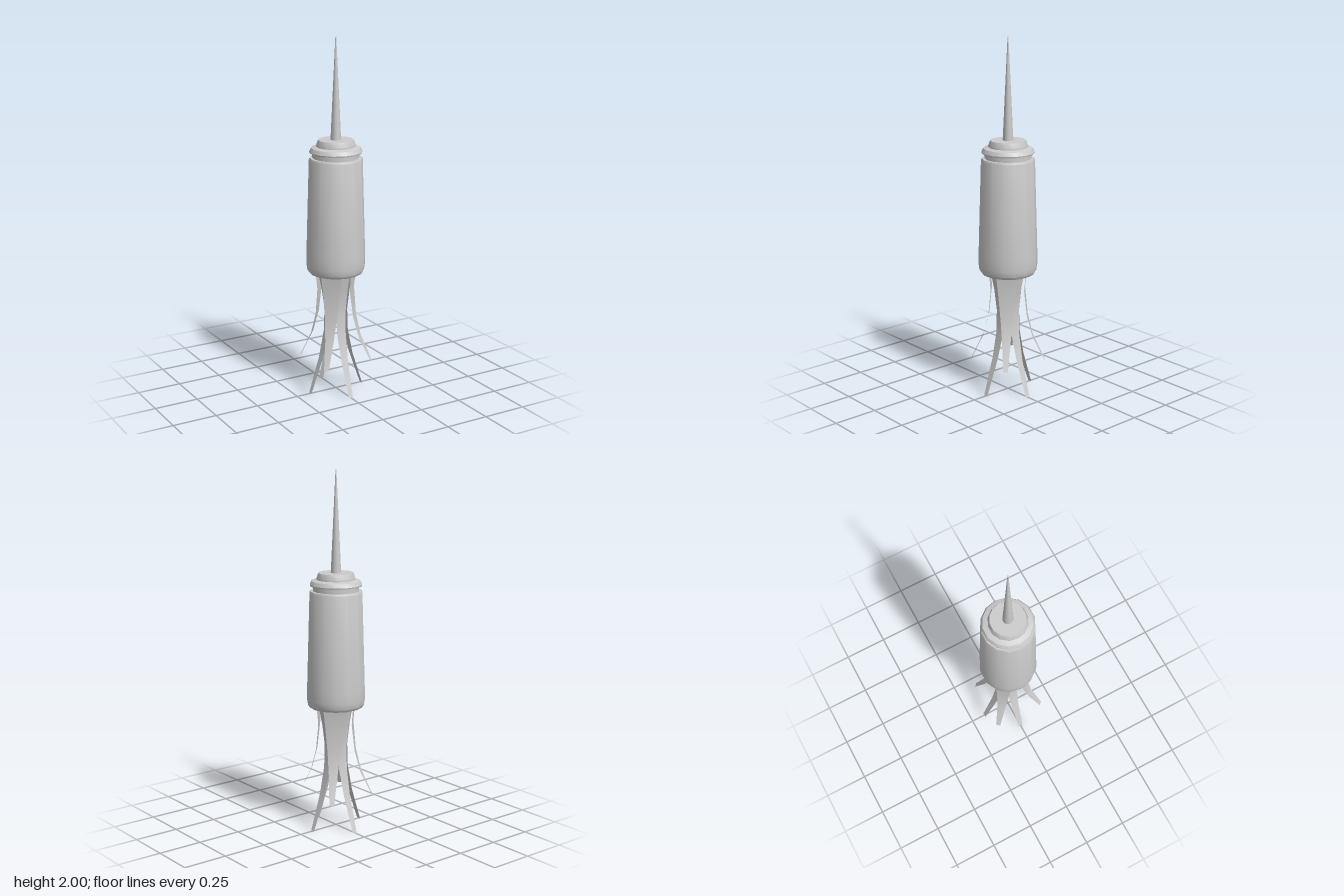
import * as THREE from 'three';
import { toCreasedNormals } from 'three/addons/utils/BufferGeometryUtils.js';

const SIDES = 14;
const grey = new THREE.MeshStandardMaterial({ color: 0xcccccc });
const greyThin = new THREE.MeshStandardMaterial({ color: 0xcccccc, side: THREE.DoubleSide });

// Turned part from [radius, height] pairs, bottom to top, with a corner on +x
function turned(name, profile) {
  const points = profile.map(([r, y]) => new THREE.Vector2(r, y));
  const geometry = new THREE.LatheGeometry(points, SIDES).rotateY(Math.PI / 2);
  const mesh = new THREE.Mesh(toCreasedNormals(geometry, 0.55), grey);
  mesh.name = name;
  return mesh;
}

// Flat tapering ribbon facing +z, from [height, distance from axis, width] rows, top to bottom
function ribbon(rows) {
  const geometry = new THREE.PlaneGeometry(1, 1, 1, rows.length - 1);
  const pos = geometry.attributes.position;
  for (let i = 0; i < pos.count; i++) {
    const [y, r, width] = rows[Math.floor(i / 2)];
    pos.setXYZ(i, pos.getX(i) * width, y, r);
  }
  geometry.computeVertexNormals();
  return geometry;
}

export function createModel() {
  const model = new THREE.Group();
  model.name = 'spikedCanister';

  // Closed body with rounded foot, slight taper and bevelled shoulder
  model.add(turned('body', [
    [0, 0.697], [0.148, 0.697], [0.158, 0.711], [0.163, 0.745], [0.163, 0.8],
    [0.147, 1.335], [0.143, 1.345], [0, 1.345],
  ]));

  // Recessed neck and bevelled flange sloping up to the cap
  model.add(turned('neck', [[0.128, 1.34], [0.128, 1.38]]));
  model.add(turned('flange', [
    [0, 1.372], [0.143, 1.372], [0.145, 1.379], [0.135, 1.4], [0.107, 1.407],
  ]));

  // Stepped cap
  model.add(turned('cap', [[0.107, 1.4], [0.107, 1.415], [0.097, 1.443], [0, 1.443]]));

  // Tall needle with a slightly blunt tip
  model.add(turned('spike', [[0.029, 1.44], [0.0025, 1.997], [0, 2]]));

  // Eight trailing ribbons: long ones on the axes, short wide ones between
  const longRibbon = ribbon([
    [0.72, 0.1, 0.068], [0.6, 0.072, 0.066], [0.48, 0.055, 0.064],
    [0.35, 0.062, 0.056], [0.2, 0.098, 0.042], [0, 0.167, 0.026],
  ]);
  const shortRibbon = ribbon([
    [0.72, 0.102, 0.122], [0.6, 0.093, 0.098], [0.45, 0.108, 0.068],
    [0.33, 0.138, 0.048], [0.183, 0.207, 0.026],
  ]);
  const ribbons = new THREE.Group();
  ribbons.name = 'ribbons';
  for (let i = 0; i < 8; i++) {
    const mesh = new THREE.Mesh(i % 2 ? shortRibbon : longRibbon, greyThin);
    mesh.name = i % 2 ? 'shortRibbon' : 'longRibbon';
    mesh.rotation.y = (i * Math.PI) / 4;
    ribbons.add(mesh);
  }
  model.add(ribbons);
  return model;
}
